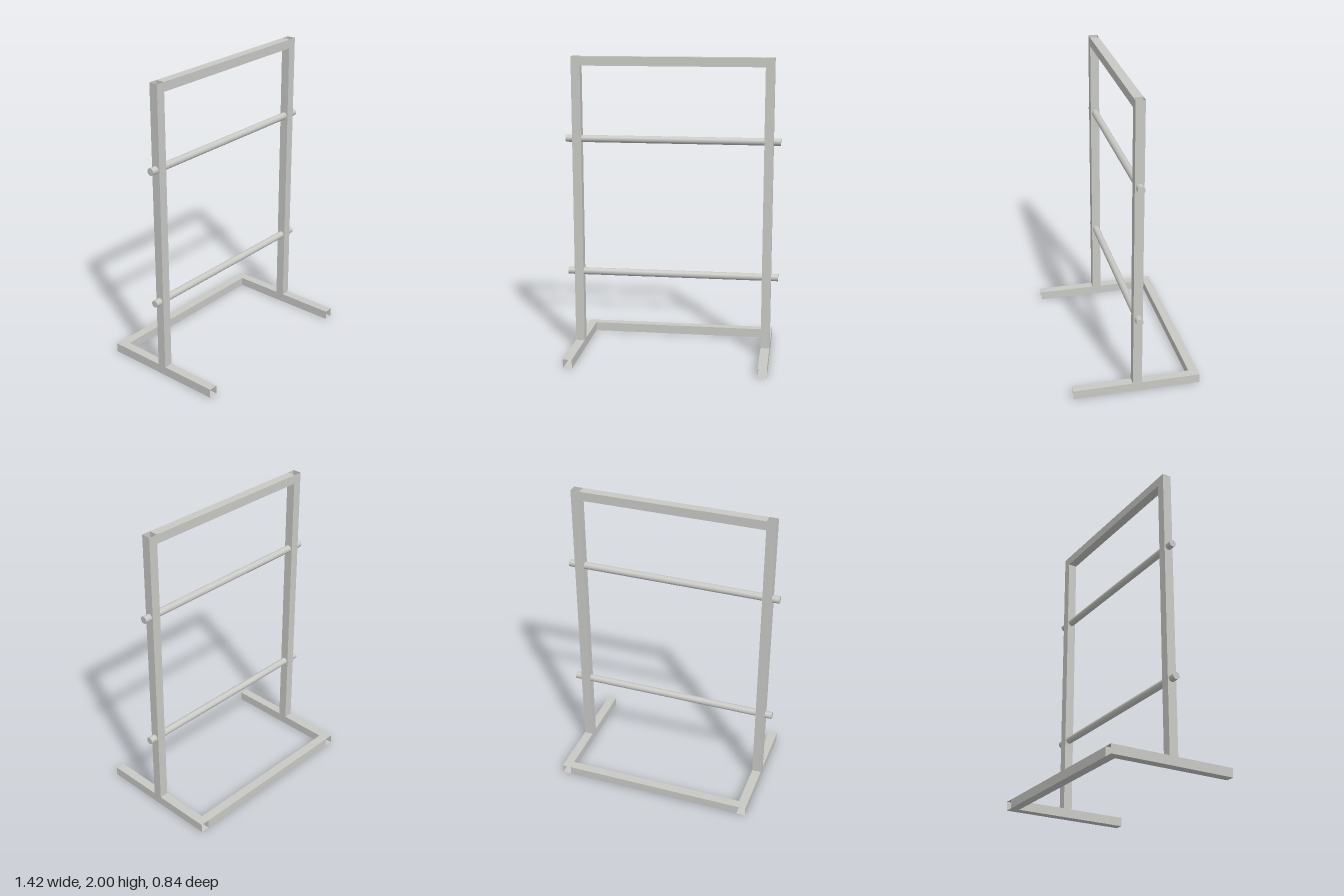
import * as THREE from 'three';

export function createModel() {
  const model = new THREE.Group();
  model.name = 'hangingRack';

  const steel = new THREE.MeshStandardMaterial({ color: 0xc8c8c5, side: THREE.DoubleSide });
  steel.name = 'light grey steel';

  const S = 0.06;         // width of the square tube
  const X = 0.635;        // centre line of the side tubes
  const Z = 0.422;        // half length of the feet
  const INNER = 2 * X - S; // clear width between the side tubes

  // Hollow square tube, open at both ends, running along one axis
  function squareTube(name, length, axis, x, y, z) {
    let geo = new THREE.CylinderGeometry(S / Math.SQRT2, S / Math.SQRT2, length, 4, 1, true);
    geo.rotateY(Math.PI / 4);
    if (axis === 'x') geo.rotateZ(Math.PI / 2);
    if (axis === 'z') geo.rotateX(Math.PI / 2);
    geo = geo.toNonIndexed();
    geo.computeVertexNormals();
    const mesh = new THREE.Mesh(geo, steel);
    mesh.name = name;
    mesh.position.set(x, y, z);
    model.add(mesh);
  }

  // Feet and uprights on both sides
  for (const [side, s] of [['left', 1], ['right', -1]]) {
    squareTube(side + 'Foot', 2 * Z, 'z', s * X, S / 2, 0);
    squareTube(side + 'Upright', 2 - S, 'y', s * X, 1 + S / 2, 0);
  }

  // Cross bars fitted between the side tubes
  squareTube('topBar', INNER, 'x', 0, 2 - S / 2, 0);
  squareTube('rearBaseBar', INNER, 'x', 0, S / 2, -Z + S / 2);

  // Round rods passing through the uprights
  for (const [name, y] of [['lowerRod', 0.548], ['upperRod', 1.458]]) {
    const rod = new THREE.Mesh(new THREE.CylinderGeometry(0.024, 0.024, 1.424, 32), steel);
    rod.name = name;
    rod.rotation.z = Math.PI / 2;
    rod.position.y = y;
    model.add(rod);
  }

  return model;
}
